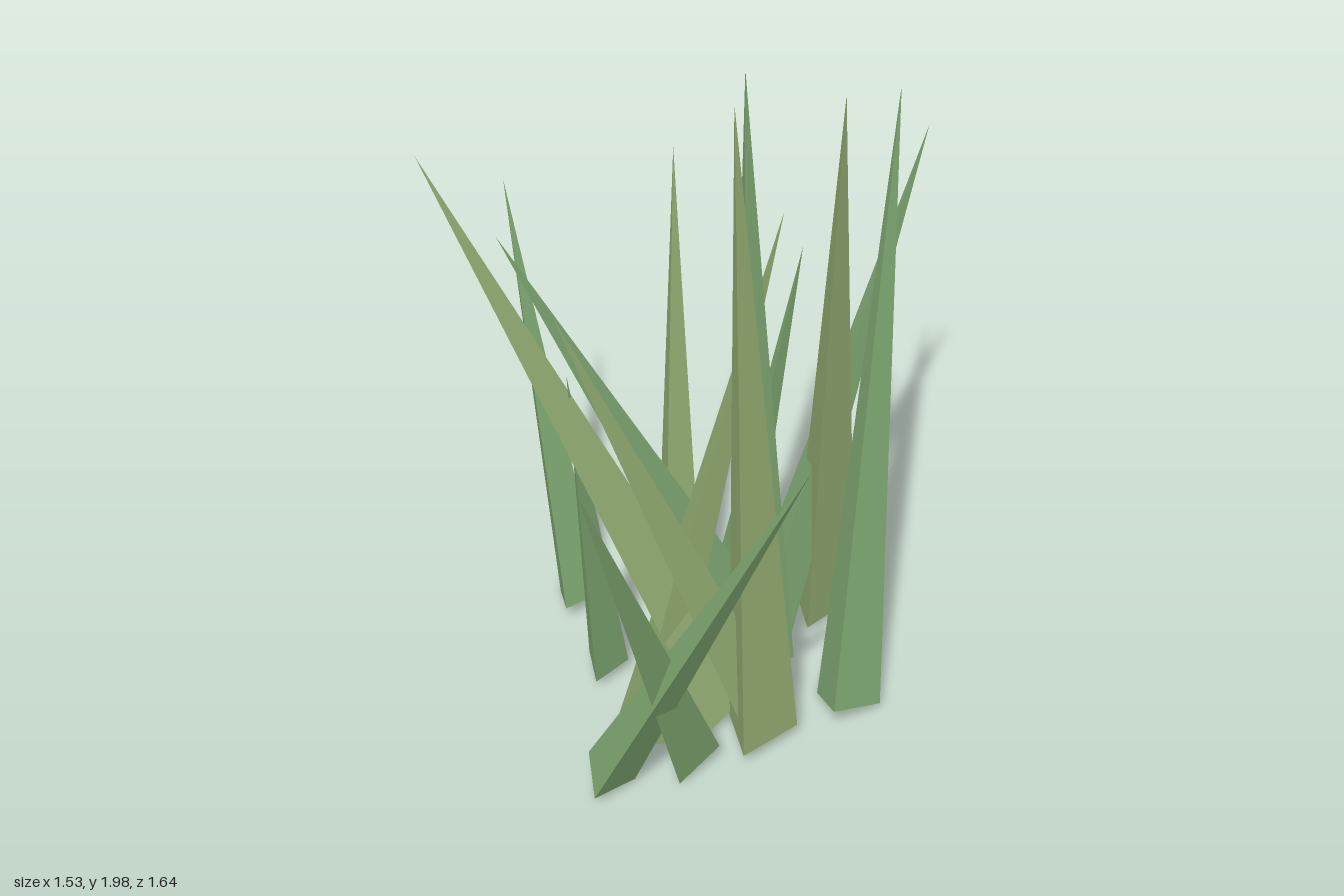
import * as THREE from 'three';

// Each blade: base centre x, z, then tip x, y, z
const GREEN_BLADES = [
  [0.13, -0.13, -0.59, 1.67, 0.08],
  [-0.15, 0.32, -0.51, 1.39, 0.82],
  [0.12, -0.04, 0.095, 1.97, -0.12],
  [0.335, 0.19, 0.63, 1.67, -0.52],
  [0.11, -0.05, 0.76, 1.46, -0.66],
  [0.06, -0.24, 0.30, 1.32, -0.29],
  [-0.395, 0.36, 0.07, 1.33, 0.775],
  [-0.353, -0.45, -0.47, 1.33, -0.82],
  [-0.32, -0.12, -0.42, 1.2, 0.04],
];
const OLIVE_BLADES = [
  [-0.01, 0.11, -0.77, 1.86, -0.03],
  [0.08, 0.2, -0.48, 1.54, 0.28],
  [0.06, 0.26, 0.02, 1.99, 0.10],
  [0.37, -0.275, 0.355, 1.89, -0.08],
  [-0.28, 0.22, 0.24, 1.45, -0.27],
  [-0.13, 0, 0.0, 1.48, -0.64],
];
const BASE_Y = 0.05;
const RADIUS_RATIO = 0.0615;

// Unit three-sided spike, base at the origin, one corner towards +x
function spikeGeometry() {
  const g = new THREE.ConeGeometry(RADIUS_RATIO, 1, 3, 1, false, Math.PI / 2);
  g.translate(0, 0.5, 0);
  return g;
}

export function createModel() {
  const model = new THREE.Group();
  model.name = 'grassTuft';
  const geometry = spikeGeometry();
  const up = new THREE.Vector3(0, 1, 0);

  const addBlades = (blades, color, name) => {
    const material = new THREE.MeshStandardMaterial({ color, flatShading: true });
    blades.forEach(([bx, bz, tx, ty, tz], i) => {
      const base = new THREE.Vector3(bx, BASE_Y, bz);
      const axis = new THREE.Vector3(tx, ty, tz).sub(base);
      const blade = new THREE.Mesh(geometry, material);
      blade.name = `${name}${i + 1}`;
      blade.position.copy(base);
      // The whole spike scales with its length and leans towards its tip
      blade.scale.setScalar(axis.length());
      blade.quaternion.setFromUnitVectors(up, axis.normalize());
      model.add(blade);
    });
  };

  addBlades(GREEN_BLADES, 0x7da570, 'greenBlade');
  addBlades(OLIVE_BLADES, 0x8fa86f, 'oliveBlade');
  return model;
}
